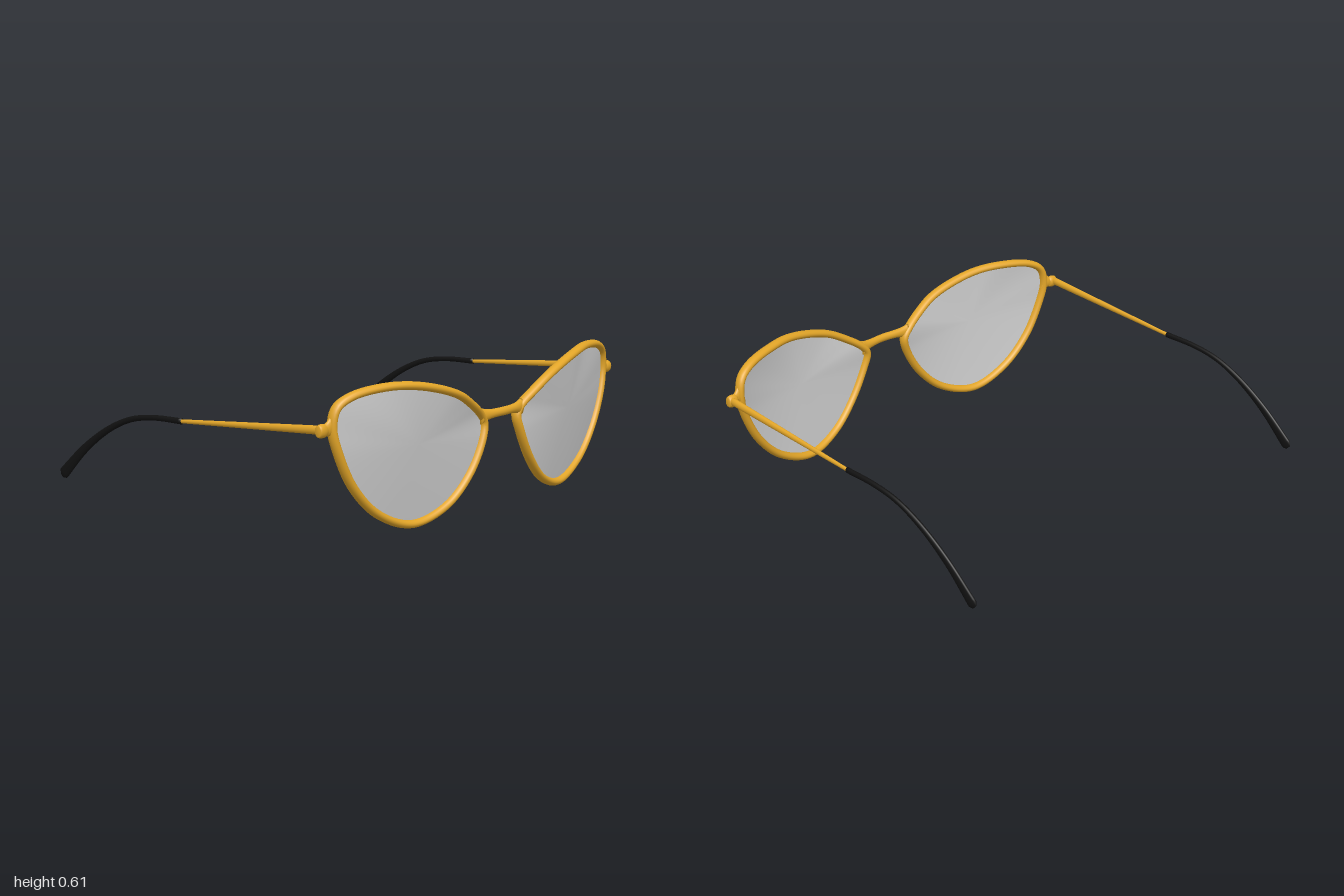
import * as THREE from 'three';

const gold = new THREE.MeshStandardMaterial({ color: 0xe2a528 });
const black = new THREE.MeshStandardMaterial({ color: 0x111111 });
const grey = new THREE.MeshStandardMaterial({ color: 0xcccccc, side: THREE.DoubleSide });

const X = new THREE.Vector3(1, 0, 0);
const Z = new THREE.Vector3(0, 0, 1);

function curveOf(points, s, closed = false) {
  return new THREE.CatmullRomCurve3(points.map(([x, y, z]) => new THREE.Vector3(x * s, y, z)), closed);
}

// Sweeps an ellipse along a curve: radii(t) gives [along ref, across ref]
function sweep(curve, ref, radii, steps, sides = 16) {
  const closed = curve.closed;
  const rings = [];
  for (let i = 0; i < (closed ? steps : steps + 1); i++) {
    const t = i / steps;
    rings.push([t, ...radii(t)]);
  }
  if (!closed) {
    rings.unshift([0, 0, 0]);
    rings.push([1, 0, 0]);
  }
  const pos = [], idx = [];
  for (const [t, a, b] of rings) {
    const p = curve.getPointAt(t), T = curve.getTangentAt(t);
    const U = ref.clone().addScaledVector(T, -T.dot(ref)).normalize();
    const V = T.clone().cross(U);
    for (let j = 0; j < sides; j++) {
      const w = (j / sides) * Math.PI * 2;
      const v = p.clone().addScaledVector(U, a * Math.cos(w)).addScaledVector(V, b * Math.sin(w));
      pos.push(v.x, v.y, v.z);
    }
  }
  const n = rings.length;
  for (let i = 0; i < (closed ? n : n - 1); i++) {
    for (let j = 0; j < sides; j++) {
      const k = (j + 1) % sides, r = i * sides, q = ((i + 1) % n) * sides;
      idx.push(r + j, r + k, q + j, r + k, q + k, q + j);
    }
  }
  const g = new THREE.BufferGeometry();
  g.setAttribute('position', new THREE.Float32BufferAttribute(pos, 3));
  g.setIndex(idx);
  g.computeVertexNormals();
  return g;
}

// Centre line of one cat-eye rim
const RIM = [
  [0.14, 0.415, 0.787], [0.215, 0.468, 0.8], [0.33, 0.53, 0.808], [0.545, 0.588, 0.782],
  [0.695, 0.598, 0.74], [0.85, 0.576, 0.697], [0.912, 0.537, 0.678], [0.928, 0.465, 0.672],
  [0.903, 0.362, 0.68], [0.826, 0.215, 0.69], [0.695, 0.088, 0.707], [0.51, 0.02, 0.732],
  [0.335, 0.07, 0.765], [0.212, 0.18, 0.785], [0.134, 0.31, 0.79], [0.115, 0.38, 0.785],
];

// Gently domed lens filling the rim curve
function lensGeometry(curve, s, rings = 12, steps = 96) {
  const plane = (x, y) => 0.75 - 0.14 * (x - 0.52) + 0.1 * (y - 0.35);
  const pos = [], idx = [];
  for (let i = 0; i <= rings; i++) {
    const t = i / rings;
    for (let j = 0; j < steps; j++) {
      const p = curve.getPointAt(j / steps), px = p.x * s;
      const x = 0.52 + (px - 0.52) * t, y = 0.35 + (p.y - 0.35) * t;
      const z = plane(x, y) + (p.z - plane(px, p.y)) * t * t + 0.02 * (1 - t * t);
      pos.push(x * s, y, z);
    }
  }
  for (let i = 0; i < rings; i++) {
    for (let j = 0; j < steps; j++) {
      const k = (j + 1) % steps, r = i * steps, q = r + steps;
      // Winding follows the mirrored side so both lenses face forward
      if (i > 0) idx.push(r + j, r + k, q + j);
      idx.push(r + k, q + k, q + j);
    }
  }
  const g = new THREE.BufferGeometry();
  g.setAttribute('position', new THREE.Float32BufferAttribute(pos, 3));
  g.setIndex(idx);
  g.computeVertexNormals();
  // One shared normal at the centre
  const n = g.attributes.normal, c = new THREE.Vector3(0.14 * s, -0.1, 1).normalize();
  if (n.getZ(steps) < 0) c.negate();
  for (let j = 0; j < steps; j++) n.setXYZ(j, c.x, c.y, c.z);
  return g;
}

export function createModel() {
  const model = new THREE.Group();
  model.name = 'glasses';
  const add = (name, geometry, material) => {
    const m = new THREE.Mesh(geometry, material);
    m.name = name;
    model.add(m);
    return m;
  };

  for (const [side, s] of [['left', 1], ['right', -1]]) {
    const rim = curveOf(RIM, s, true);
    add(side + 'Rim', sweep(rim, Z, () => [0.023, 0.017], 140), gold);
    add(side + 'Lens', lensGeometry(rim, s), grey);

    // Lug flaring from the rim to the hinge
    const lug = curveOf([[0.92, 0.472, 0.672], [0.95, 0.462, 0.668], [0.985, 0.459, 0.663]], s);
    add(side + 'Lug', sweep(lug, Z, (t) => [0.014, 0.045 - 0.05 * t + 0.03 * t * t], 10), gold);

    // Rounded hinge barrel
    const hinge = curveOf([[0.955, 0.459, 0.663], [1, 0.459, 0.663]], s);
    add(side + 'Hinge', sweep(hinge, Z, (t) => {
      const r = 0.7 + 0.3 * Math.sqrt(Math.sin(Math.PI * Math.min(Math.max(t, 0), 1)) + 1e-9);
      return [0.021 * r, 0.028 * r];
    }, 12), gold);

    // Tapered metal temple arm
    const arm = curveOf([[0.983, 0.463, 0.66], [0.98, 0.432, 0.28], [0.978, 0.401, -0.1]], s);
    add(side + 'Temple', sweep(arm, X, (t) => [0.014 - 0.007 * t, 0.018 - 0.01 * t], 16), gold);

    // Curved ear tip, widening towards a rounded end
    const tip = curveOf([
      [0.978, 0.402, -0.085], [0.978, 0.396, -0.25], [0.978, 0.372, -0.385],
      [0.978, 0.313, -0.52], [0.978, 0.215, -0.665], [0.978, 0.075, -0.818],
    ], s);
    add(side + 'EarTip', sweep(tip, X, (t) => {
      const end = Math.sqrt(Math.min(1, (1 - t) / 0.025 + 0.25));
      return [0.0105 * end, (0.013 - 0.012 * t + 0.027 * t * t) * end];
    }, 60), black);
  }

  // Nose bridge, flaring where it meets the rims
  const bridge = curveOf([
    [-0.14, 0.408, 0.788], [-0.075, 0.411, 0.797], [0, 0.412, 0.803],
    [0.075, 0.411, 0.797], [0.14, 0.408, 0.788],
  ], 1);
  add('bridge', sweep(bridge, Z, (t) => {
    const e = Math.abs(2 * t - 1);
    return [0.017, 0.018 + 0.018 * e ** 4];
  }, 32), gold);

  return model;
}
